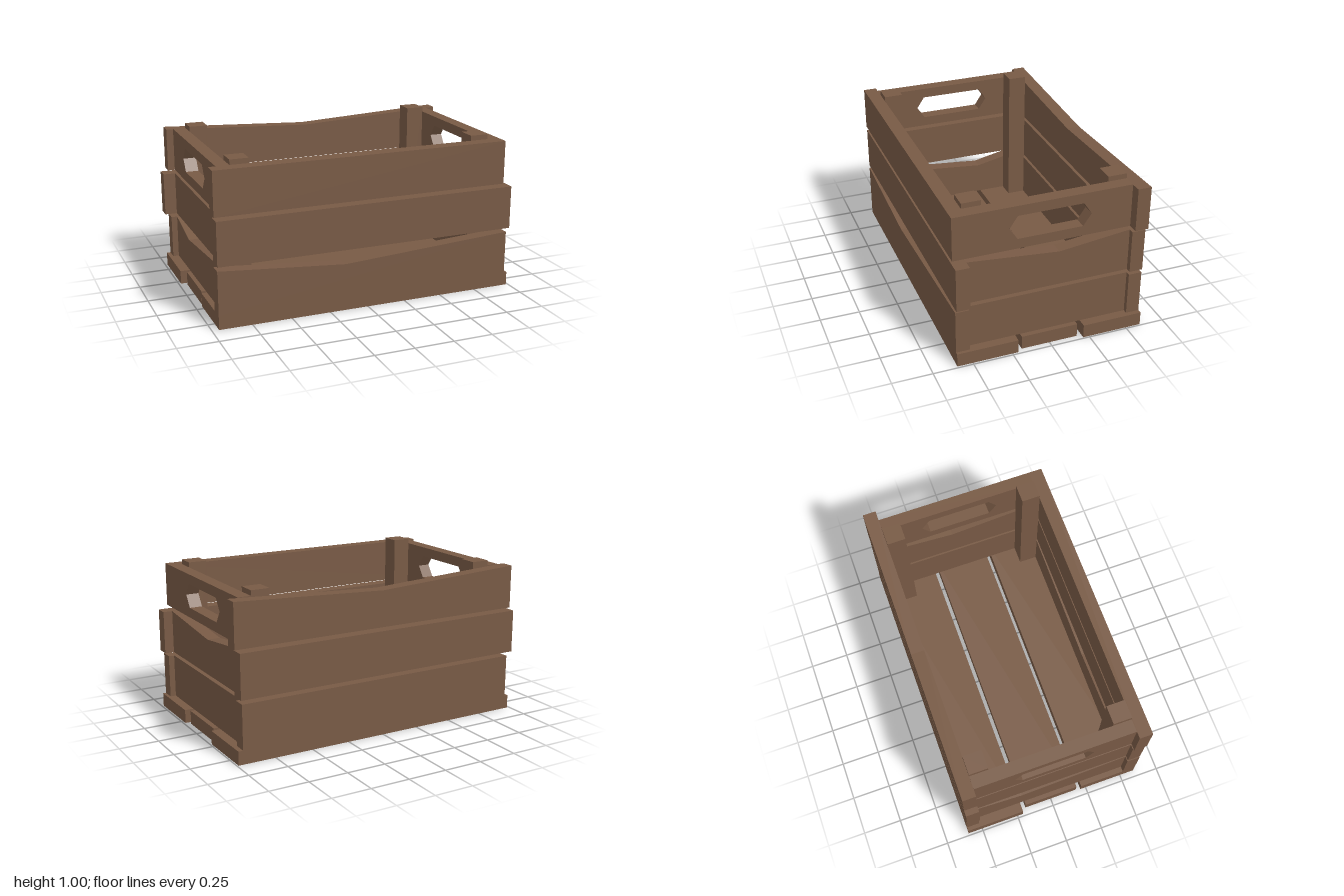
import * as THREE from 'three';

export function createModel() {
  const crate = new THREE.Group();
  crate.name = 'woodenCrate';
  const wood = new THREE.MeshStandardMaterial({ color: 0x785a45 });
  wood.name = 'brown wood';

  const add = (name, geometry) => {
    const mesh = new THREE.Mesh(geometry, wood);
    mesh.name = name;
    crate.add(mesh);
    return mesh;
  };

  // Box given by its limits on each axis
  const block = (name, x0, x1, y0, y1, z0, z1) =>
    add(name, new THREE.BoxGeometry(x1 - x0, y1 - y0, z1 - z0))
      .position.set((x0 + x1) / 2, (y0 + y1) / 2, (z0 + z1) / 2);

  // Upright board outline; a worn top edge dips to the point [u, v]
  const outline = (u0, u1, y0, y1, dip) => {
    const points = [[u0, y0], [u1, y0], [u1, y1]];
    if (dip) points.push(dip);
    points.push([u0, y1]);
    return new THREE.Shape(points.map(([u, v]) => new THREE.Vector2(u, v)));
  };
  const extrude = (shape, depth) =>
    new THREE.ExtrudeGeometry(shape, { depth, bevelEnabled: false });

  const IN = 0.512, OUT = 0.597, FLOOR = 0.087;
  const rows = [
    { name: 'bottom', y0: FLOOR, y1: 0.366, front: [-0.957, 0.967], back: [-0.96, 0.96],
      frontDip: [-0.15, 0.3], leftDip: null, rightDip: [-0.2, 0.3] },
    { name: 'middle', y0: 0.39, y1: 0.668, front: [-0.955, 0.99], back: [-1, 0.965],
      leftDip: [-0.06, 0.615] },
    { name: 'top', y0: 0.693, y1: 0.971, front: [-0.967, 0.93], back: [-0.967, 0.997],
      backDip: [0.01, 0.922], handle: true },
  ];

  for (const row of rows) {
    // Long front and back boards
    for (const [side, z] of [['front', IN], ['back', -OUT]]) {
      const shape = outline(...row[side], row.y0, row.y1, row[side + 'Dip']);
      add(`${row.name}${side === 'front' ? 'Front' : 'Back'}Board`, extrude(shape, OUT - IN))
        .position.z = z;
    }
    // Short end boards, drawn in z and turned across the crate
    for (const [side, x0, x1] of [['left', 0.848, 0.93], ['right', -0.922, -0.84]]) {
      const dip = row[side + 'Dip'];
      const shape = outline(-IN, IN, row.y0, row.y1, dip && [-dip[0], dip[1]]);
      if (row.handle) {
        const hole = [[-0.255, 0.831], [-0.204, 0.907], [0.204, 0.907],
          [0.255, 0.831], [0.204, 0.756], [-0.204, 0.756]];
        shape.holes.push(new THREE.Path(hole.map(([u, v]) => new THREE.Vector2(u, v))));
      }
      const board = add(`${row.name}${side === 'left' ? 'Left' : 'Right'}Board`,
        extrude(shape, x1 - x0));
      board.rotation.y = Math.PI / 2;
      board.position.x = x0;
    }
  }

  // Floor slats
  block('frontFloorSlat', -0.957, 0.987, 0, FLOOR, 0.212, OUT);
  block('middleFloorSlat', -0.95, 0.962, 0, FLOOR, -0.181, 0.181);
  block('backFloorSlat', -0.985, 0.99, 0, FLOOR, -OUT, -0.212);

  // Corner posts inside the walls
  for (const [x0, x1] of [[-0.84, -0.722], [0.73, 0.848]]) {
    block('frontPost', x0, x1, FLOOR, 1.003, 0.393, IN);
    block('backPost', x0, x1, FLOOR, 1.003, -IN, -0.393);
  }
  return crate;
}
